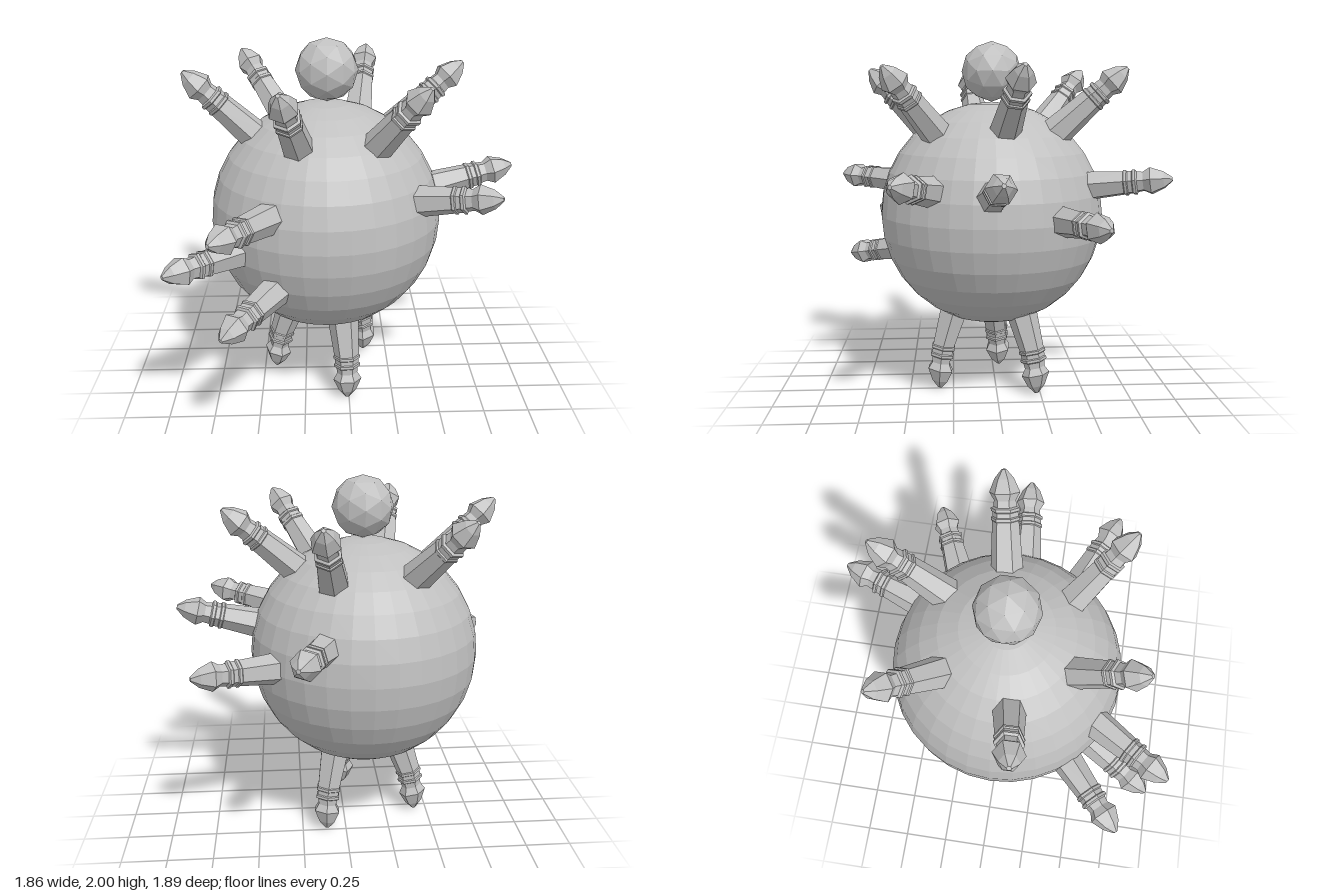
import * as THREE from 'three';

export function createModel() {
  const model = new THREE.Group();
  model.name = 'spikyBall';
  const grey = new THREE.MeshStandardMaterial({ color: 0xc0c0c0, flatShading: true });
  grey.name = 'plain grey';

  const add = (name, geometry, x, y, z) => {
    const mesh = new THREE.Mesh(geometry, grey);
    mesh.name = name;
    mesh.position.set(x, y, z);
    model.add(mesh);
    return mesh;
  };

  // Body and head
  add('body', new THREE.SphereGeometry(0.64, 32, 16), -0.12, 1.02, 0.02);
  add('head', new THREE.IcosahedronGeometry(0.17, 1), -0.11, 1.83, 0.02);

  // Turned six-sided spike: [radius, distance back from the tip]
  const profile = [
    [0.070, 0.262], [0.076, 0.257], [0.076, 0.243], [0.068, 0.238],
    [0.067, 0.215], [0.075, 0.210], [0.075, 0.195], [0.061, 0.188],
    [0.057, 0.155], [0.080, 0.115], [0.050, 0.045], [0.012, 0],
  ];
  const up = new THREE.Vector3(0, 1, 0);
  const inset = 0.07;

  function spike(name, base, tip, bend = 0) {
    const a = new THREE.Vector3(...base);
    const b = new THREE.Vector3(...tip);
    const dir = b.clone().sub(a);
    const visible = dir.length();
    dir.normalize();
    a.addScaledVector(dir, -inset);
    const length = visible + inset;
    const points = [
      new THREE.Vector2(0, 0),
      new THREE.Vector2(0.09, 0),
      ...profile.map(([r, d]) => new THREE.Vector2(r, length - d)),
      new THREE.Vector2(0, length),
    ];
    const geometry = new THREE.LatheGeometry(points, 6);
    geometry.applyQuaternion(new THREE.Quaternion().setFromUnitVectors(up, dir));

    // Bow the spike outwards, away from the upright axis of the body
    if (bend) {
      const out = new THREE.Vector3(b.x + 0.12, 0, b.z - 0.02).normalize();
      const p = geometry.attributes.position;
      const v = new THREE.Vector3();
      for (let i = 0; i < p.count; i++) {
        v.fromBufferAttribute(p, i);
        const t = THREE.MathUtils.clamp(v.dot(dir) / length, 0, 1);
        v.addScaledVector(out, bend * 4 * t * (1 - t));
        p.setXYZ(i, v.x, v.y, v.z);
      }
    }
    geometry.computeVertexNormals();
    add(name, geometry, a.x, a.y, a.z);
  }

  // Ring of six upper spikes
  [
    [[-0.37, 1.52, -0.30], [-0.61, 1.845, -0.57]],
    [[0.08, 1.53, -0.37], [0.14, 1.845, -0.71]],
    [[0.27, 1.52, -0.04], [0.64, 1.845, -0.11]],
    [[0.15, 1.50, 0.34], [0.38, 1.845, 0.60]],
    [[-0.26, 1.50, 0.39], [-0.34, 1.845, 0.73]],
    [[-0.51, 1.50, 0.09], [-0.86, 1.845, 0.14]],
  ].forEach(([base, tip]) => spike('upperSpike', base, tip));

  // Spikes around the middle
  [
    [[0.13, 1.20, -0.51], [0.27, 1.25, -0.94]],
    [[0.40, 1.04, -0.34], [0.81, 1.06, -0.51]],
    [[0.48, 1.18, 0.04], [0.92, 1.29, 0.01]],
    [[0.38, 1.20, 0.36], [0.77, 1.27, 0.54]],
    [[-0.41, 1.18, 0.54], [-0.67, 1.20, 0.94]],
    [[-0.59, 0.95, 0.43], [-0.93, 0.95, 0.73]],
    [[-0.40, 0.77, 0.54], [-0.64, 0.69, 0.90]],
  ].forEach(([base, tip]) => spike('middleSpike', base, tip));

  // Three legs
  [
    [[-0.03, 0.42, 0.25], [-0.01, 0, 0.33]],
    [[0.06, 0.42, -0.15], [0.11, 0, -0.23]],
    [[-0.32, 0.43, 0.00], [-0.43, 0, -0.04]],
  ].forEach(([base, tip]) => spike('leg', base, tip, 0.025));

  return model;
}
